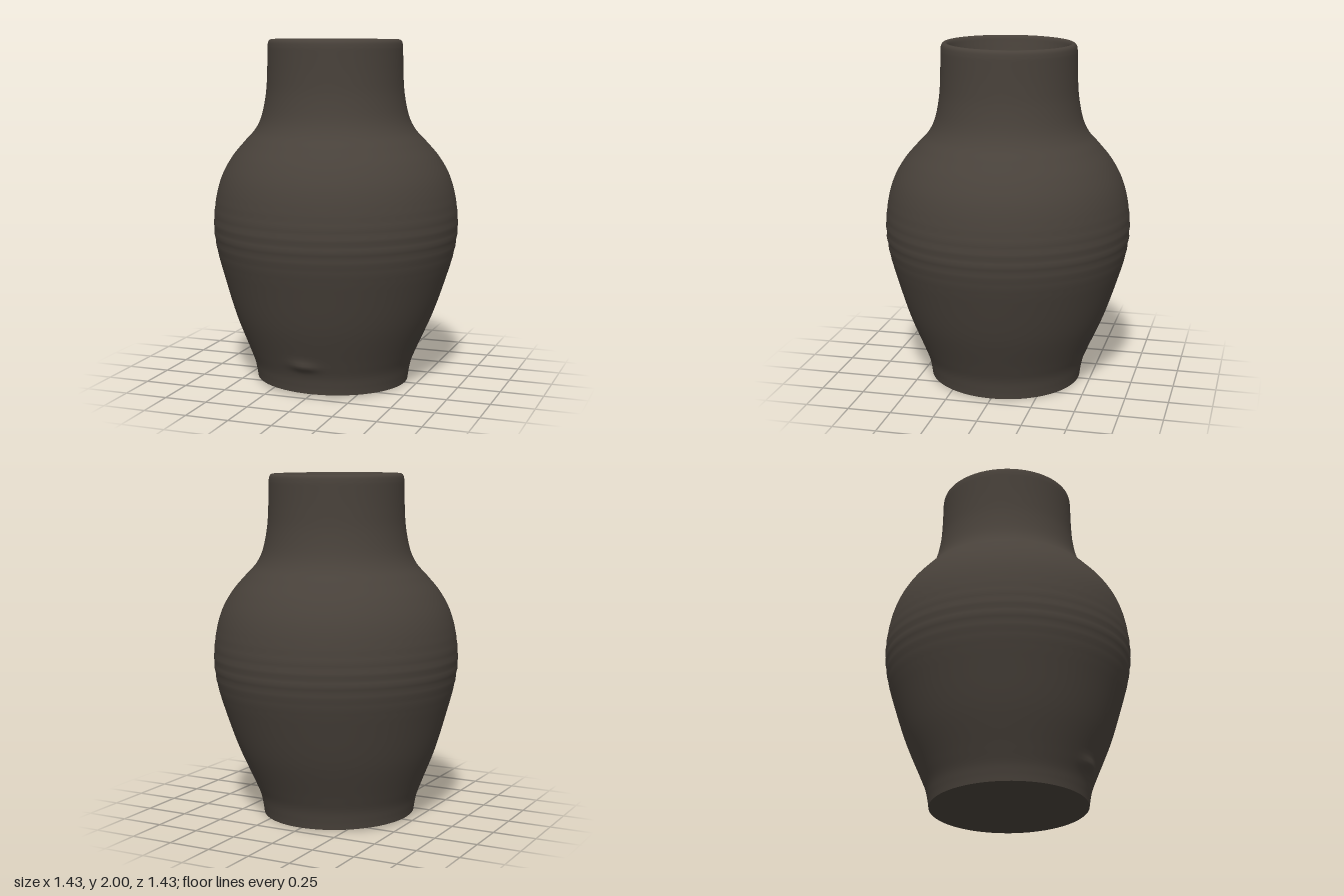
import * as THREE from 'three';
import { mergeVertices } from 'three/addons/utils/BufferGeometryUtils.js';

const SEGMENTS = 96;
const smooth = THREE.MathUtils.smoothstep;

// Outer wall, from foot to neck, as [radius, height]
const wallProfile = [
  [0.445, 0], [0.452, 0.05], [0.466, 0.12], [0.497, 0.2], [0.58, 0.4], [0.645, 0.6],
  [0.695, 0.78], [0.713, 0.93], [0.70, 1.08], [0.665, 1.21], [0.605, 1.32],
  [0.53, 1.41], [0.467, 1.48], [0.428, 1.56], [0.403, 1.68], [0.394, 1.8], [0.391, 1.95],
];
// Rounded lip, then down the inside of the neck
const lipProfile = [
  [0.391, 1.95], [0.387, 1.98], [0.377, 1.995], [0.362, 1.998], [0.35, 1.985],
  [0.342, 1.95], [0.325, 1.88], [0.29, 1.815],
];
// Slightly dished surface inside the neck
const floorProfile = [[0.29, 1.815], [0.24, 1.795], [0.15, 1.78], [0, 1.775]];
const baseProfile = [[0, 0], [0.445, 0]];

function curvePoints(profile, count) {
  const curve = new THREE.SplineCurve(profile.map(([r, y]) => new THREE.Vector2(r, y)));
  return curve.getPoints(count).map((p) => new THREE.Vector2(Math.max(p.x, 0), p.y));
}

// Hand-thrown irregularities: turning ridges, a pressed clay lump, an uneven foot and lip
function deform(geometry) {
  const pos = geometry.attributes.position;
  for (let i = 0; i < pos.count; i++) {
    let x = pos.getX(i), y = pos.getY(i), z = pos.getZ(i);
    const radius = Math.hypot(x, z);
    if (radius > 0.45) {
      const band = Math.exp(-(((y - 0.9) / 0.13) ** 2));
      const lump = Math.exp(-((x / 0.07) ** 2) - (((y - 0.185) / 0.028) ** 2)) * (z > 0 ? 1 : 0);
      const k = 1 + (0.0025 * band * Math.sin(y * 95) + 0.02 * lump) / radius;
      x *= k;
      z *= k;
    }
    const foot = 1 - smooth(y, 0, 0.8);
    const neck = smooth(y, 1.2, 1.6);
    y += (0.012 - 0.015 * x + 0.015 * z) * (1 - smooth(y, 0, 0.15))
      + 0.007 * z * smooth(y, 1.7, 1.95);
    pos.setXYZ(i, x - 0.014 * foot - 0.006 * neck, y, z + 0.014 * foot - 0.005 * neck);
  }
}

function turned(name, points, material) {
  let geometry = new THREE.LatheGeometry(points, SEGMENTS);
  deform(geometry);
  // Weld the seam so the shading runs smoothly around
  geometry.deleteAttribute('normal');
  geometry.deleteAttribute('uv');
  geometry = mergeVertices(geometry, 1e-5);
  geometry.computeVertexNormals();
  const mesh = new THREE.Mesh(geometry, material);
  mesh.name = name;
  return mesh;
}

export function createModel() {
  const clay = new THREE.MeshStandardMaterial({ color: 0x48413a });
  clay.name = 'dark clay';

  const jar = new THREE.Group();
  jar.name = 'jar';
  const shell = [...curvePoints(wallProfile, 130), ...curvePoints(lipProfile, 28).slice(1)];
  jar.add(
    turned('bodyAndNeck', shell, clay),
    turned('innerFloor', curvePoints(floorProfile, 10), clay),
    turned('base', baseProfile.map(([r, y]) => new THREE.Vector2(r, y)), clay),
  );
  return jar;
}
